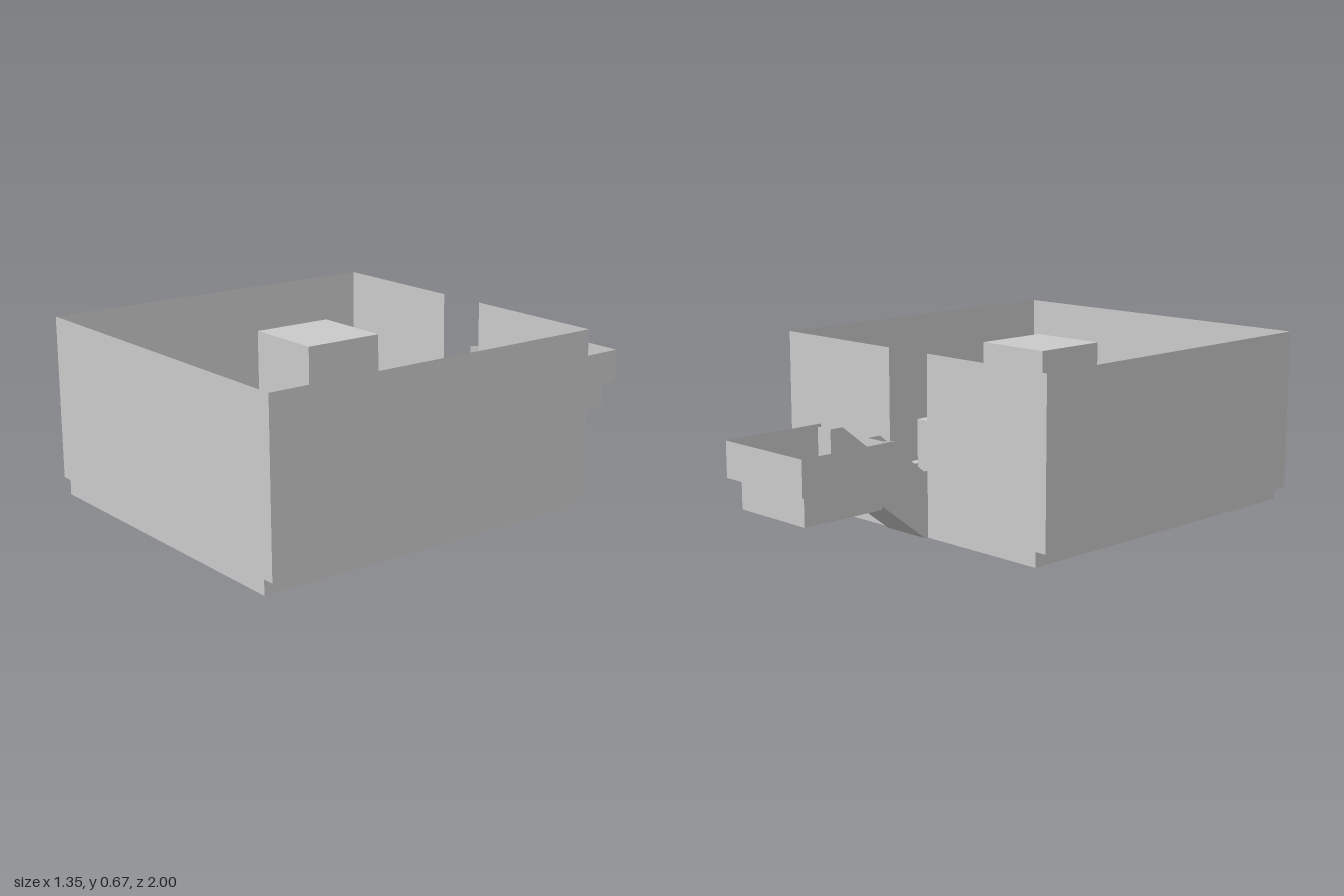
import * as THREE from 'three';

const solid = new THREE.MeshStandardMaterial({ color: 0xcccccc, flatShading: true });
const sheet = new THREE.MeshStandardMaterial({ color: 0xcccccc, flatShading: true, side: THREE.DoubleSide });

// Thin surface joining two polylines with the same number of points.
function strip(name, a, b) {
  const pos = [];
  for (let i = 0; i < a.length - 1; i++) {
    pos.push(...a[i], ...b[i], ...b[i + 1], ...a[i], ...b[i + 1], ...a[i + 1]);
  }
  const geo = new THREE.BufferGeometry();
  geo.setAttribute('position', new THREE.Float32BufferAttribute(pos, 3));
  geo.computeVertexNormals();
  const mesh = new THREE.Mesh(geo, sheet);
  mesh.name = name;
  return mesh;
}

// Flat wall in the x-y plane at depth z.
function wall(name, points, z) {
  const shape = new THREE.Shape(points.map(([x, y]) => new THREE.Vector2(x, y)));
  const mesh = new THREE.Mesh(new THREE.ShapeGeometry(shape), sheet);
  mesh.position.z = z;
  mesh.name = name;
  return mesh;
}

// Box standing on height y.
function block(name, w, h, d, x, y, z) {
  const mesh = new THREE.Mesh(new THREE.BoxGeometry(w, h, d), solid);
  mesh.position.set(x, y + h / 2, z);
  mesh.name = name;
  return mesh;
}

const at = (points, z) => points.map(([x, y]) => [x, y, z]);
const atX = (points, x) => points.map(([y, z]) => [x, y, z]);

function createMainRoom() {
  const room = new THREE.Group();
  room.name = 'mainRoom';
  const half = [[0.63, 0.005], [0.63, 0.06], [0.675, 0.06], [0.675, 0.67]];
  const profile = [...half.map(([x, y]) => [-x, y]).reverse(), ...half];

  // Stepped side walls and floor, closed front, back split by a doorway
  room.add(strip('floorAndSideWalls', at(profile, 1), at(profile, -0.355)));
  room.add(wall('frontWall', profile, 1));
  for (const s of [-1, 1]) {
    const back = [[0.1, 0.005], ...half, [0.1, 0.67]].map(([x, y]) => [s * x, y]);
    room.add(wall('backWall', back, -0.355));
    room.add(block('sideBlock', 0.13, 0.25, 0.13, s * 0.553, 0, 0.315));
  }

  // Central pillar on its plinth
  room.add(block('plinth', 0.435, 0.1, 0.45, -0.017, 0.005, 0.305));
  room.add(block('pillar', 0.31, 0.625, 0.305, -0.015, 0.005, 0.312));

  // Low posts
  const posts = [[-0.14, -0.333], [0.13, -0.333], [-0.14, 0.96], [0.135, 0.96]];
  for (const s of [-1, 1]) posts.push([s * 0.492, 0.06], [s * 0.492, 0.565]);
  for (const [x, z] of posts) room.add(block('post', 0.045, 0.095, 0.045, x, 0.005, z));
  return room;
}

function createRamp() {
  const ramp = new THREE.Group();
  ramp.name = 'rampCorridor';
  const low = [[0.005, -0.355], [0.005, -0.368], [0.155, -0.565], [0.17, -0.63]];
  const high = [[0.25, -0.355], [0.25, -0.372], [0.41, -0.575], [0.41, -0.63]];
  ramp.add(strip('rampFloor', atX(low, -0.1), atX(low, 0.1)));
  for (const x of [-0.1, 0.1]) ramp.add(strip('rampWall', atX(low, x), atX(high, x)));
  return ramp;
}

function createSmallRoom() {
  const room = new THREE.Group();
  room.name = 'smallRoom';
  const floorY = 0.17, ledgeY = 0.28, topY = 0.41;
  // Plan outlines, from one front corner round the back to the other
  const outer = [[-0.205, -0.588], [-0.205, -1], [0.205, -1], [0.205, -0.588]];
  const inner = [[-0.17, -0.63], [-0.17, -0.965], [0.17, -0.965], [0.17, -0.63]];
  const ring = (plan, y) => plan.map(([x, z]) => [x, y, z]);

  room.add(strip('upperWalls', ring(outer, ledgeY), ring(outer, topY)));
  room.add(strip('ledge', ring(inner, ledgeY), ring(outer, ledgeY)));
  room.add(strip('lowerWalls', ring(inner, floorY), ring(inner, ledgeY)));
  const f = ring(inner, floorY);
  room.add(strip('smallRoomFloor', [f[0], f[1]], [f[3], f[2]]));

  // Front walls beside the ramp, with angled corner pieces
  for (const s of [-1, 1]) {
    const front = [[0.1, floorY], [0.17, floorY], [0.17, topY], [0.1, topY]];
    room.add(wall('smallFrontWall', front.map(([x, y]) => [s * x, y]), -0.63));
    const corner = [[s * 0.17, -0.63], [s * 0.205, -0.588]];
    room.add(strip('cornerWall', ring(corner, ledgeY), ring(corner, topY)));
  }
  return room;
}

export function createModel() {
  const model = new THREE.Group();
  model.name = 'roomLayout';
  model.add(createMainRoom(), createRamp(), createSmallRoom());
  return model;
}
